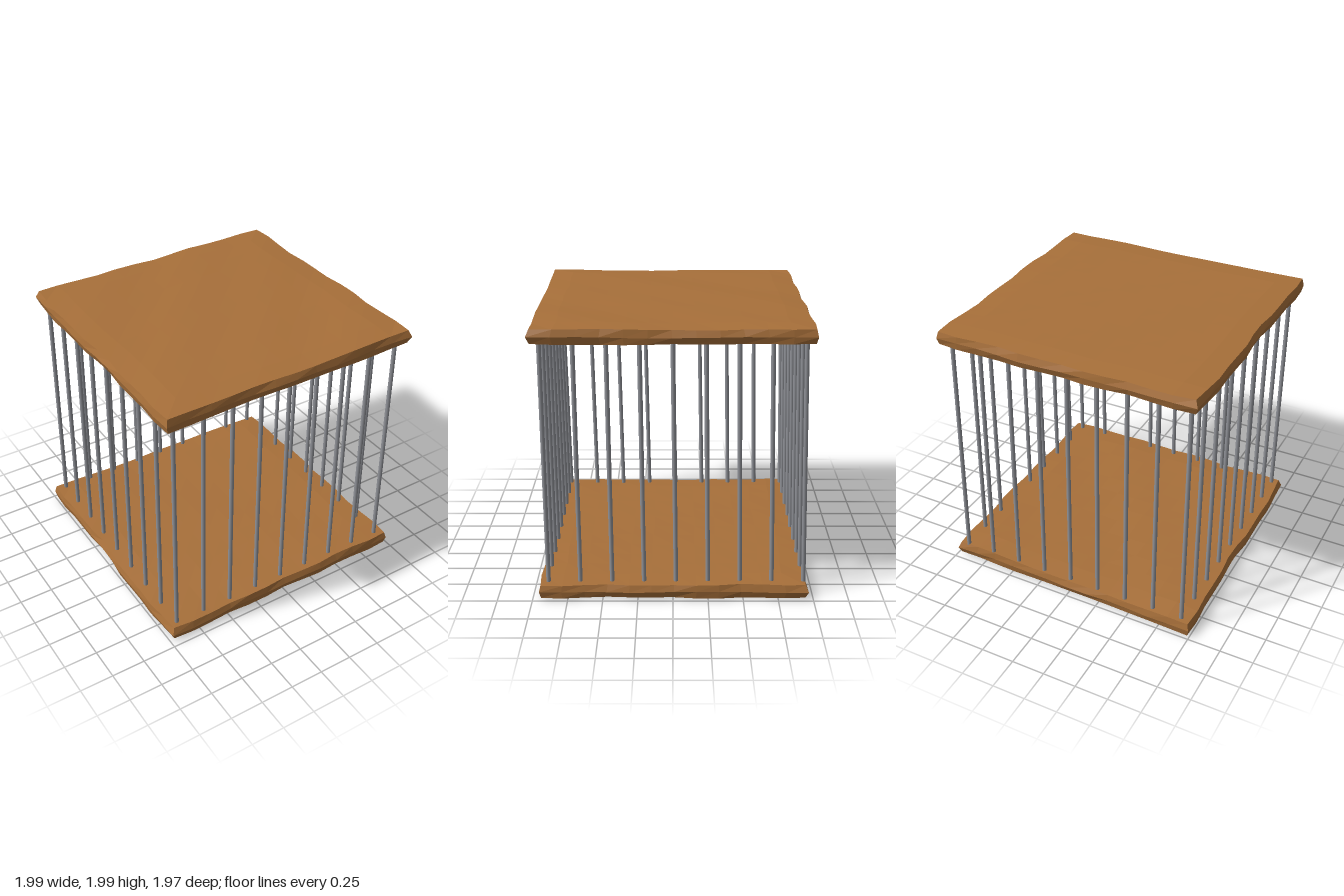
import * as THREE from 'three';

const wood = new THREE.MeshStandardMaterial({ color: 0xa8703a, flatShading: true });
const steel = new THREE.MeshStandardMaterial({ color: 0x909298 });

const { lerp } = THREE.MathUtils;
const wave = (t, phase) => 0.005 * Math.sin(t * 5.3 + phase) + 0.004 * Math.sin(t * 11.7 + phase * 2.3);

// Rough-hewn board: a box whose edges are chamfered and gently wavy
function createBoard(name) {
  const geo = new THREE.BoxGeometry(2, 2, 2, 12, 2, 12);
  const p = geo.attributes.position;
  for (let i = 0; i < p.count; i++) {
    const x = p.getX(i), y = p.getY(i), z = p.getZ(i);
    const inset = Math.abs(y) * (0.014 + wave(x - z, 1));
    // uneven outline, the front edge slightly skewed
    const left = -0.992 + wave(z, 0.4) + inset;
    const right = 0.988 + wave(z, 2.1) - inset;
    const back = -0.957 + wave(x, 3.2) + inset;
    const front = 0.972 - 0.012 * x + wave(x, 1.2) - inset;
    // edges dip a little so the rim looks worn
    const rim = Math.max(Math.abs(x), Math.abs(z)) > 0.99 ? 0.008 : 0;
    const height = y * (0.058 - rim) + 0.6 * wave(x * 0.7 + z * 0.5, y + 0.8);
    p.setXYZ(i, lerp(left, right, (x + 1) / 2), height, lerp(back, front, (z + 1) / 2));
  }
  geo.computeVertexNormals();
  const mesh = new THREE.Mesh(geo, wood);
  mesh.name = name;
  return mesh;
}

// Round bar between two points
function createBar(from, to) {
  const dir = to.clone().sub(from);
  const bar = new THREE.Mesh(new THREE.CylinderGeometry(0.016, 0.016, dir.length(), 10), steel);
  bar.position.copy(from).add(to).multiplyScalar(0.5);
  bar.quaternion.setFromUnitVectors(new THREE.Vector3(0, 1, 0), dir.normalize());
  bar.name = 'bar';
  return bar;
}

export function createModel() {
  const model = new THREE.Group();
  model.name = 'cage';

  // Roof and floor are the same board, the floor turned over
  const roof = createBoard('roofBoard');
  roof.position.y = 1.935;
  const floor = createBoard('floorBoard');
  floor.rotation.x = Math.PI;
  floor.position.y = 0.069;
  model.add(roof, floor);

  // Nine bars along each side, leaning slightly forward at the top
  const bars = new THREE.Group();
  bars.name = 'bars';
  const n = 8;
  for (let i = 0; i <= n; i++) {
    for (let j = 0; j <= n; j++) {
      if (i % n && j % n) continue;
      const s = i / n, t = j / n;
      const x = lerp(-0.915, 0.905, s);
      const zBottom = lerp(0.89, -0.932, t);
      const zTop = lerp(lerp(0.917, 0.89, s), -0.887, t);
      bars.add(createBar(new THREE.Vector3(x, 0.1, zBottom), new THREE.Vector3(x, 1.9, zTop)));
    }
  }
  model.add(bars);
  return model;
}
